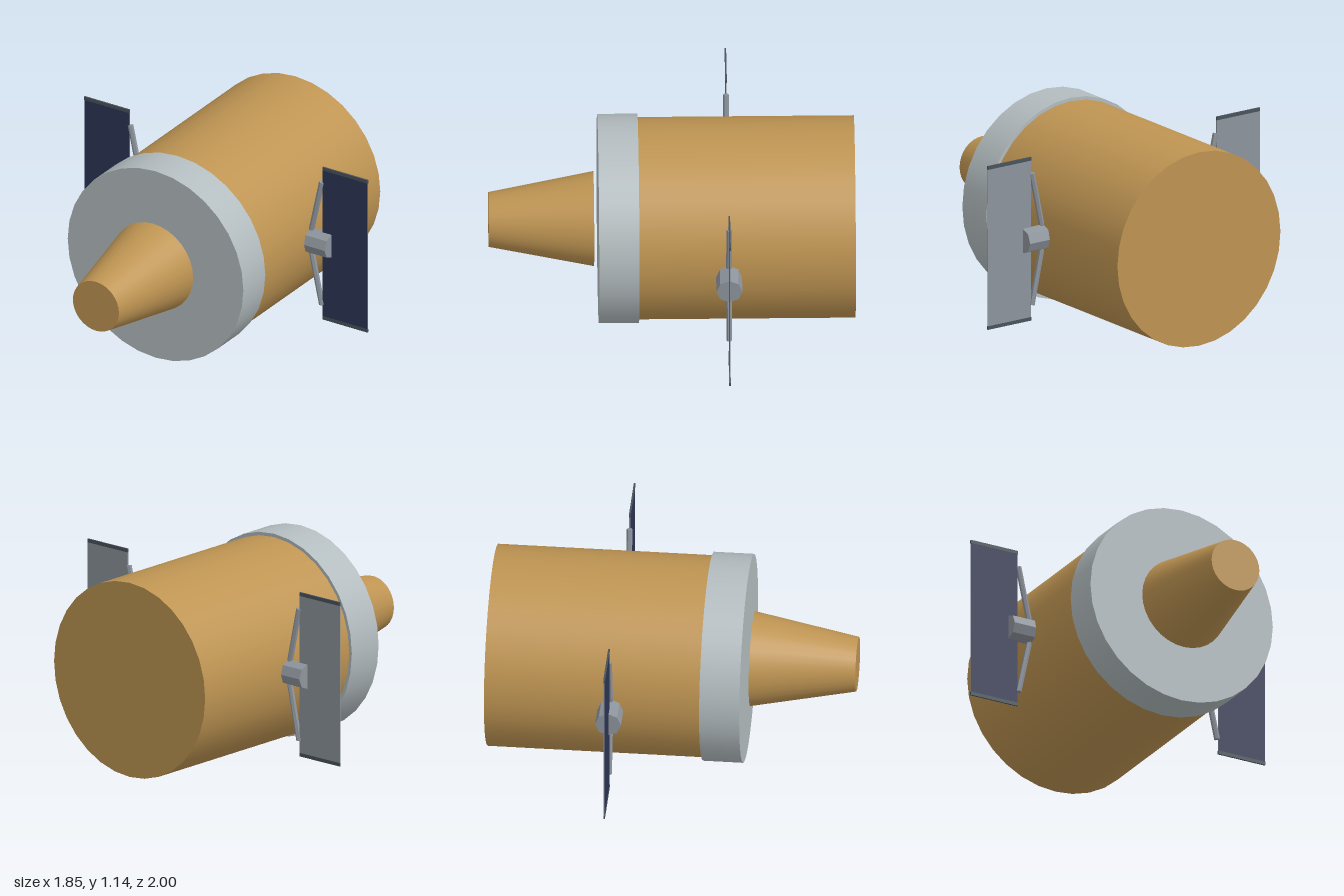
import * as THREE from 'three';

const CY = 0.572;      // height of the main axis
const PANEL_Z = -0.307; // plane of the side panels

const material = (name, color) => {
  const m = new THREE.MeshStandardMaterial({ color });
  m.name = name;
  return m;
};

export function createModel() {
  const gold = material('goldFoil', 0xbe9452);
  const silver = material('paleSilver', 0xb3bcbf);
  const grey = material('metalGrey', 0x8d949c);
  const navy = material('solarNavy', 0x2c3454);
  const dark = material('darkTrim', 0x49535a);

  const model = new THREE.Group();
  model.name = 'spacecraft';

  const add = (parent, name, geometry, mat, x = 0, y = 0, z = 0) => {
    const mesh = new THREE.Mesh(geometry, mat);
    mesh.name = name;
    mesh.position.set(x, y, z);
    parent.add(mesh);
    return mesh;
  };

  // Round part along z, from its back radius to its front radius
  const barrel = (name, rBack, rFront, zBack, zFront, mat) => {
    const geometry = new THREE.CylinderGeometry(rFront, rBack, zFront - zBack, 32);
    geometry.rotateX(Math.PI / 2);
    return add(model, name, geometry, mat, 0, CY, (zBack + zFront) / 2);
  };

  barrel('body', 0.553, 0.553, -1, 0.19, gold);
  barrel('frontRing', 0.572, 0.572, 0.182, 0.402, silver);
  barrel('noseCone', 0.26, 0.15, 0.425, 1, gold);

  // Six-sided rod between two points
  const rod = (parent, name, a, b, radius) => {
    const dir = b.clone().sub(a);
    const geometry = new THREE.CylinderGeometry(radius, radius, dir.length(), 6).toNonIndexed();
    geometry.computeVertexNormals();
    const mesh = add(parent, name, geometry, grey);
    mesh.position.copy(a).add(b).multiplyScalar(0.5);
    mesh.quaternion.setFromUnitVectors(new THREE.Vector3(0, 1, 0), dir.normalize());
  };

  // Panel assemblies on the left (+x) and right (-x)
  for (const side of [1, -1]) {
    const wing = new THREE.Group();
    wing.name = side > 0 ? 'leftWing' : 'rightWing';
    wing.position.set(0, CY, PANEL_Z);
    model.add(wing);

    // Faceted mount
    const hub = new THREE.CylinderGeometry(0.071, 0.071, 0.16, 8).toNonIndexed();
    hub.rotateZ(Math.PI / 2);
    hub.computeVertexNormals();
    add(wing, 'panelMount', hub, grey, side * 0.606);

    // Panel: dark cells in front, bare metal behind
    const panel = new THREE.BoxGeometry(0.293, 0.93, 0.006);
    add(wing, 'solarPanel', panel, [grey, grey, grey, grey, navy, grey], side * 0.776, 0.003);

    // Edge strips and slanted braces, above and below
    for (const end of [1, -1]) {
      add(wing, 'panelEdge', new THREE.BoxGeometry(0.294, 0.02, 0.009), dark,
        side * 0.776, 0.003 + end * 0.457);
      rod(wing, 'brace',
        new THREE.Vector3(side * 0.546, end * 0.02, 0),
        new THREE.Vector3(side * 0.623, end * 0.376, 0), 0.016);
    }
  }

  return model;
}
